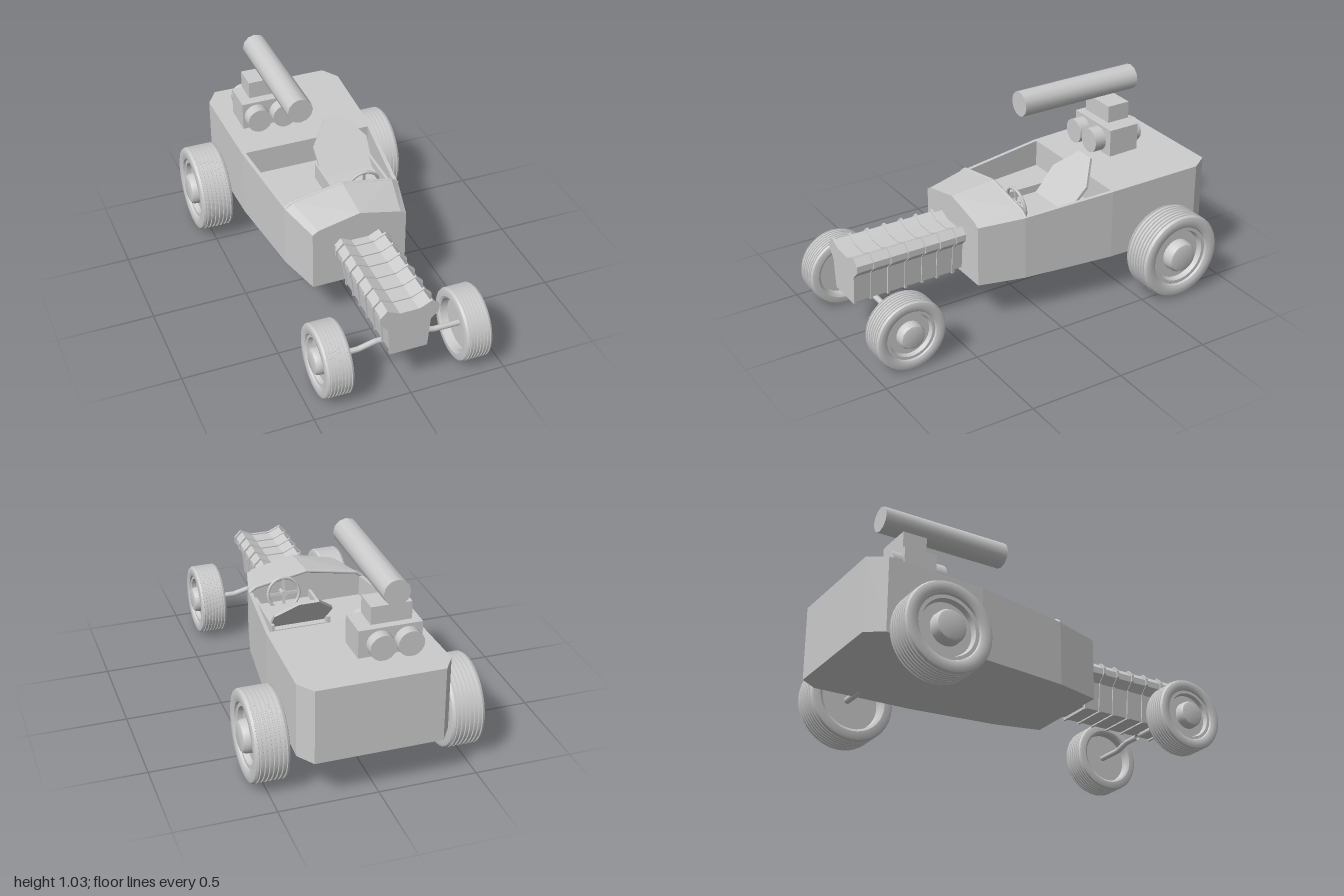
import * as THREE from 'three';
import { toCreasedNormals } from 'three/addons/utils/BufferGeometryUtils.js';

export function createModel() {
  const car = new THREE.Group();
  car.name = 'roadster';
  const grey = new THREE.MeshStandardMaterial({ color: 0xcccccc });
  const thin = new THREE.MeshStandardMaterial({ color: 0xcccccc, side: THREE.DoubleSide });

  function add(name, geometry, x = 0, y = 0, z = 0, parent = car, material = grey) {
    const mesh = new THREE.Mesh(geometry, material);
    mesh.name = name;
    mesh.position.set(x, y, z);
    parent.add(mesh);
    return mesh;
  }
  const box = (name, x0, x1, y0, y1, z0, z1) => add(name,
    new THREE.BoxGeometry(x1 - x0, y1 - y0, z1 - z0), (x0 + x1) / 2, (y0 + y1) / 2, (z0 + z1) / 2);
  const shapeOf = (pts) => new THREE.Shape(pts.map(([x, y]) => new THREE.Vector2(x, y)));

  // Prism over an outline of [x, z] points, with a sloping top
  function prism(outline, bottom, top) {
    const g = new THREE.ExtrudeGeometry(shapeOf(outline.map(([x, z]) => [x, -z])), { depth: 1, bevelEnabled: false });
    g.rotateX(-Math.PI / 2);
    const p = g.attributes.position;
    for (let i = 0; i < p.count; i++) p.setY(i, p.getY(i) < 0.5 ? bottom : top(p.getX(i), p.getZ(i)));
    g.computeVertexNormals();
    return g;
  }
  const tube = (pts, r, n = 24) => {
    const path = new THREE.CurvePath();
    for (let i = 1; i < pts.length; i++) {
      path.add(new THREE.LineCurve3(new THREE.Vector3(...pts[i - 1]), new THREE.Vector3(...pts[i])));
    }
    return new THREE.TubeGeometry(path, n, r, 10, false);
  };

  // Body: solid tail, open cockpit, peaked cowl
  const sill = (x, z) => z < -0.39 ? 0.605 - (z + 0.39) * 0.026 : 0.605 - (z + 0.39) * 0.07;
  add('tail', prism([[-0.32, -1], [0.32, -1], [0.38, -0.91], [0.365, -0.39], [-0.365, -0.39], [-0.38, -0.91]], 0.23, sill));
  add('cockpitFloor', prism([[-0.365, -0.39], [0.365, -0.39], [0.31, 0.1], [-0.31, 0.1]], 0.23, () => 0.46));
  const cowlTop = (x, z) => {
    const back = (0.34 - z) / 0.24;
    const peak = 0.625 + 0.025 * back;
    const edge = 0.25 + 0.06 * back;
    const t = Math.abs(x) / edge;
    return t > 0.95 ? 0.555 + 0.015 * back : peak - 0.05 * t / 0.88;
  };
  for (const s of [-1, 1]) {
    const side = new THREE.Group();
    side.name = s > 0 ? 'leftBodySide' : 'rightBodySide';
    side.scale.x = s;
    car.add(side);
    add('cockpitWall', prism([[0.345, -0.39], [0.365, -0.39], [0.31, 0.1], [0.29, 0.1]], 0.4, sill), 0, 0, 0, side);
    add('cowlCentre', prism([[0, 0.34], [0.22, 0.34], [0.273, 0.1], [0, 0.1]], 0.23, cowlTop), 0, 0, 0, side);
    add('cowlShoulder', prism([[0.22, 0.34], [0.25, 0.34], [0.31, 0.1], [0.273, 0.1]], 0.23, cowlTop), 0, 0, 0, side);
    add('cowlRim', tube([[0, 0.645, 0.1], [0.273, 0.595, 0.1], [0.305, 0.57, 0.1]], 0.01), 0, 0, 0, side);
    // Front half axle with a raised inner end
    add('frontAxle', tube([[0.02, 0.212, 0.81], [0.11, 0.212, 0.81], [0.2, 0.19, 0.81], [0.36, 0.19, 0.81]], 0.015), 0, 0, 0, side, thin);
    add('rearAxle', tube([[0.3, 0.24, -0.69], [0.49, 0.24, -0.69]], 0.018, 2), 0, 0, 0, side);
  }

  // Long hood with raised straps
  const half = [[0.05, 0.48], [0.113, 0.51], [0.148, 0.475], [0.148, 0.44], [0.108, 0.4], [0.095, 0.245]];
  const section = [...half, ...half.map(([x, y]) => [-x, y]).reverse()];
  function hoodPiece(name, z0, z1, scale) {
    const pts = section.map(([x, y]) => [x * scale, 0.378 + (y - 0.378) * scale]);
    add(name, new THREE.ExtrudeGeometry(shapeOf(pts), { depth: z1 - z0, bevelEnabled: false }), 0, 0, z0);
  }
  hoodPiece('hoodNeck', 0.33, 0.4, 0.91);
  hoodPiece('hood', 0.39, 0.95, 0.96);
  for (const z of [0.39, 0.48, 0.565, 0.66, 0.755, 0.85, 0.94]) hoodPiece('hoodStrap', z, z + 0.013, 1.02);

  // Wheels: grooved tyre, dished rim and hub cap turned in one profile
  function wheelGeometry(R, w) {
    const tread = [[0.97, -0.95], [0.99, -0.86]];
    for (let i = -3; i <= 3; i++) {
      const c = i * 0.25;
      tread.push([1, c - 0.06], [0.97, c - 0.035], [0.97, c + 0.035], [1, c + 0.06]);
    }
    tread.push([0.99, 0.86], [0.97, 0.95]);
    const profile = [[0, -0.35], [0.7, -0.35], [0.72, -0.9], [0.78, -1], [0.92, -1], ...tread,
      [0.92, 1], [0.78, 1], [0.72, 0.92], [0.7, 0.8], [0.62, 0.8], [0.58, 0.5], [0.37, 0.5],
      [0.36, 0.95], [0.32, 1.13], [0.26, 1.18], [0, 1.18]];
    const g = new THREE.LatheGeometry(profile.map(([r, a]) => new THREE.Vector2(r * R, a * w)), 36);
    g.rotateZ(-Math.PI / 2);
    return toCreasedNormals(g, 0.5);
  }
  for (const [name, R, w, x, y, z] of [
    ['frontWheel', 0.187, 0.07, 0.36, 0.19, 0.813],
    ['rearWheel', 0.23, 0.087, 0.49, 0.238, -0.685],
  ]) {
    const g = wheelGeometry(R, w);
    for (const s of [-1, 1]) add(name, g, s * x, y, z).rotation.y = s > 0 ? 0 : Math.PI;
  }

  // Engine stack on the tail
  const rod = (r, len, n) => toCreasedNormals(new THREE.CylinderGeometry(r, r, len, n).rotateX(Math.PI / 2), 0.6);
  box('engineBlock', -0.285, 0.035, 0.605, 0.76, -0.78, -0.605);
  for (const x of [-0.21, -0.07]) add('engineCylinder', rod(0.066, 0.295, 20), x, 0.681, -0.688);
  box('engineTopBlock', -0.235, -0.03, 0.775, 0.867, -0.765, -0.635);
  add('longCylinder', rod(0.067, 0.7, 12), -0.128, 0.963, -0.49);

  // Bucket seat: cushion, low sides and a reclined back
  box('seatCushion', 0, 0.28, 0.46, 0.51, -0.22, 0.07);
  for (const x of [-0.015, 0.275]) box('seatSide', x, x + 0.015, 0.46, 0.55, -0.24, 0.07);
  const backShape = shapeOf([[-0.14, 0], [0.14, 0], [0.15, 0.2], [0.05, 0.335], [-0.05, 0.335], [-0.15, 0.2]]);
  const back = add('seatBack', new THREE.ExtrudeGeometry(backShape, { depth: 0.015, bevelEnabled: false }), 0.14, 0.475, -0.15);
  back.rotation.x = -0.75;

  // Steering wheel and column
  const steering = new THREE.Group();
  steering.name = 'steeringWheel';
  steering.position.set(0.14, 0.565, 0.045);
  steering.rotation.x = 0.15;
  car.add(steering);
  add('steeringRim', new THREE.TorusGeometry(0.083, 0.008, 8, 28), 0, 0, 0, steering);
  add('steeringHub', rod(0.018, 0.03, 12), 0, 0, 0, steering);
  add('steeringColumn', rod(0.01, 0.09, 8), 0, 0, 0.04, steering);
  for (let i = 0; i < 4; i++) {
    const a = i * Math.PI / 2;
    const spoke = add('steeringSpoke', new THREE.BoxGeometry(0.08, 0.014, 0.008), 0.04 * Math.cos(a), 0.04 * Math.sin(a), 0, steering);
    spoke.rotation.z = a;
  }
  return car;
}
